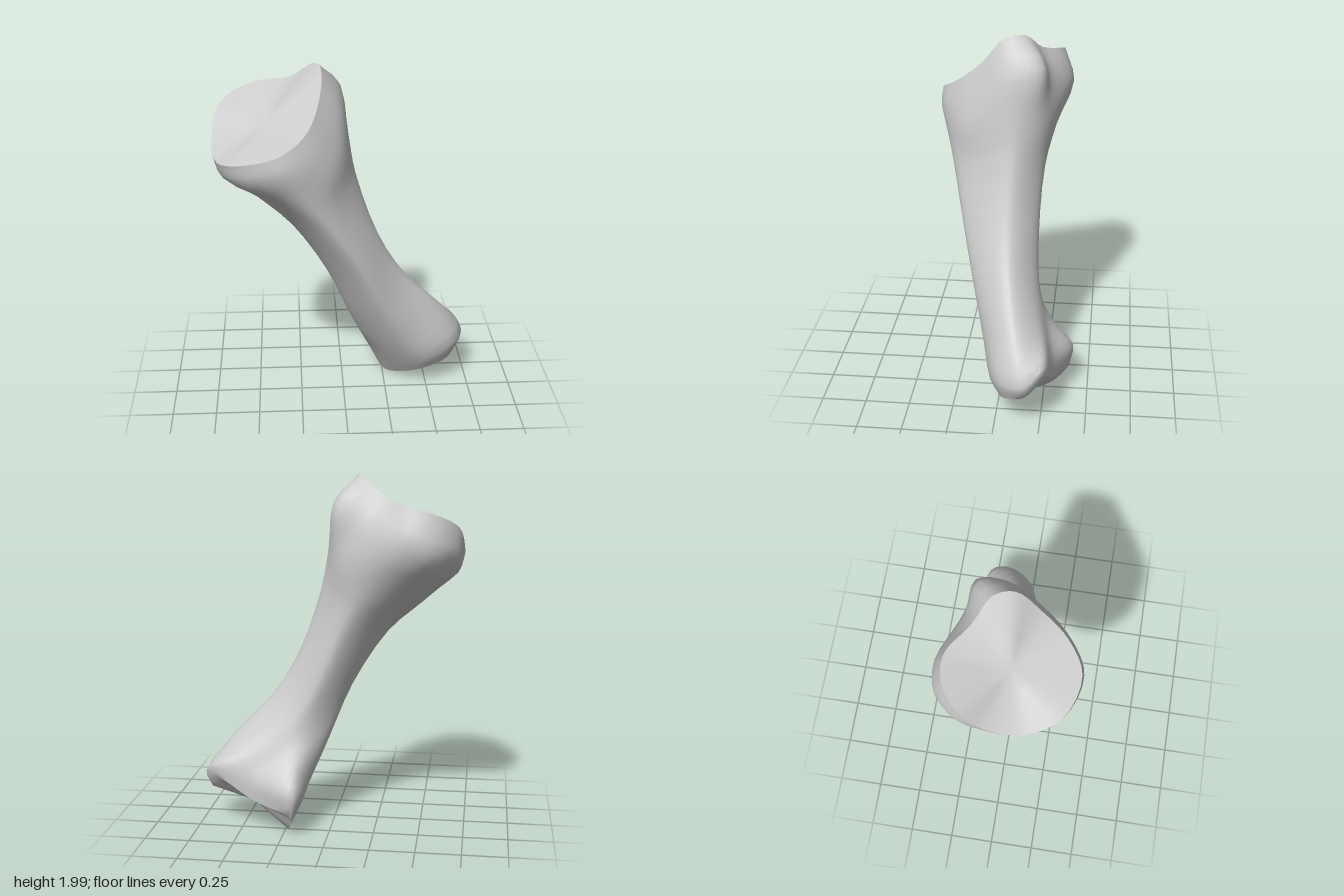
import * as THREE from 'three';
import { toCreasedNormals } from 'three/addons/utils/BufferGeometryUtils.js';

const SIDES = 48;
const STEPS = 3;

// A closed cross-section through 4, 8 or 12 points, starting at the left and going
// round by the front, right and back, so that the quarters of all sections line up
function section(points) {
  const curve = new THREE.CatmullRomCurve3(points.map(p => new THREE.Vector3(...p)), true);
  return Array.from({ length: SIDES }, (_, k) => curve.getPoint(k / SIDES));
}

// Shrinks a section towards a centre, to close an end
function shrink(ring, centre, t) {
  return ring.map(p => p.clone().lerp(centre, t));
}

// Upper joint: rim of the sloping face, then the flared collar with a hollow at the back
const upperHead = [
  [[-0.72, 1.61, -0.06], [-0.7, 1.53, 0.14], [-0.59, 1.56, 0.33],
    [-0.37, 1.62, 0.395], [-0.22, 1.7, 0.3], [-0.14, 1.83, 0.15],
    [-0.12, 1.985, 0.01], [-0.16, 1.99, -0.09], [-0.29, 1.89, -0.18],
    [-0.44, 1.845, -0.29], [-0.58, 1.8, -0.28], [-0.69, 1.73, -0.18]],
  [[-0.69, 1.5, -0.08], [-0.67, 1.44, 0.13], [-0.55, 1.46, 0.33],
    [-0.34, 1.53, 0.405], [-0.18, 1.58, 0.32], [-0.06, 1.68, 0.15],
    [-0.01, 1.83, -0.03], [-0.03, 1.85, -0.2], [-0.18, 1.76, -0.235],
    [-0.42, 1.67, -0.35], [-0.57, 1.6, -0.33], [-0.68, 1.55, -0.2]],
];

// Shaft, from the neck of the upper joint to the neck of the lower one
const shaft = [
  [[-0.51, 1.31, 0.0], [-0.42, 1.32, 0.22], [-0.25, 1.37, 0.355], [-0.06, 1.47, 0.24],
    [0.03, 1.6, -0.03], [-0.03, 1.57, -0.2], [-0.24, 1.46, -0.27], [-0.42, 1.37, -0.19]],
  [[-0.3, 1.12, 0.03], [-0.11, 1.2, 0.3], [0.07, 1.37, -0.05], [-0.11, 1.25, -0.215]],
  [[-0.1, 0.81, 0.0], [0.1, 0.87, 0.215], [0.2, 1.0, -0.04], [0.04, 0.9, -0.195]],
  [[0.02, 0.52, -0.08], [0.23, 0.6, 0.15], [0.36, 0.74, -0.05], [0.17, 0.64, -0.21]],
  [[0.12, 0.28, -0.18], [0.23, 0.3, 0.0], [0.36, 0.36, 0.085], [0.49, 0.46, 0.03],
    [0.57, 0.52, -0.1], [0.48, 0.48, -0.23], [0.31, 0.44, -0.27], [0.17, 0.38, -0.31]],
];

// Lower joint: widest section, then the rim of the end face
const lowerHead = [
  [[0.15, 0.19, -0.28], [0.27, 0.14, -0.09], [0.47, 0.2, 0.035], [0.65, 0.28, -0.02],
    [0.725, 0.3, -0.16], [0.65, 0.38, -0.27], [0.42, 0.31, -0.31], [0.18, 0.26, -0.41]],
  [[0.22, 0.04, -0.31], [0.27, 0.01, -0.2], [0.46, 0.11, -0.02], [0.63, 0.17, -0.05],
    [0.69, 0.22, -0.17], [0.64, 0.31, -0.27], [0.42, 0.19, -0.31], [0.2, 0.13, -0.39]],
];

function boneGeometry() {
  const sections = [...upperHead, ...shaft, ...lowerHead].map(section);

  // Smooth curves along the length through matching points of the sections
  const strands = Array.from({ length: SIDES }, (_, k) =>
    new THREE.CatmullRomCurve3(sections.map(s => s[k])));
  const count = (sections.length - 1) * STEPS;
  const body = Array.from({ length: count + 1 }, (_, i) =>
    strands.map(s => s.getPoint(i / count)));

  // Slightly hollow end faces
  const top = new THREE.Vector3(-0.42, 1.7, 0.04);
  const bottom = new THREE.Vector3(0.44, 0.15, -0.19);
  const rings = [
    ...[1, 0.6, 0.2].map(t => shrink(body[0], top, t)),
    ...body,
    ...[0.2, 0.6, 1].map(t => shrink(body[count], bottom, t)),
  ];

  // Skin between neighbouring rings; the first and last ring are single points
  const pos = [];
  const tri = (...corners) => corners.forEach(p => pos.push(p.x, p.y, p.z));
  for (let i = 0; i < rings.length - 1; i++) {
    for (let k = 0; k < SIDES; k++) {
      const n = (k + 1) % SIDES;
      const a = rings[i][k], b = rings[i][n], c = rings[i + 1][k], d = rings[i + 1][n];
      if (i > 0) tri(a, c, b);
      if (i < rings.length - 2) tri(b, c, d);
    }
  }
  const geometry = new THREE.BufferGeometry();
  geometry.setAttribute('position', new THREE.Float32BufferAttribute(pos, 3));
  return toCreasedNormals(geometry, 0.9);
}

export function createModel() {
  const group = new THREE.Group();
  group.name = 'bone';
  const material = new THREE.MeshStandardMaterial({ color: 0xcccccc });
  const bone = new THREE.Mesh(boneGeometry(), material);
  bone.name = 'boneShaftAndJoints';
  group.add(bone);
  return group;
}
